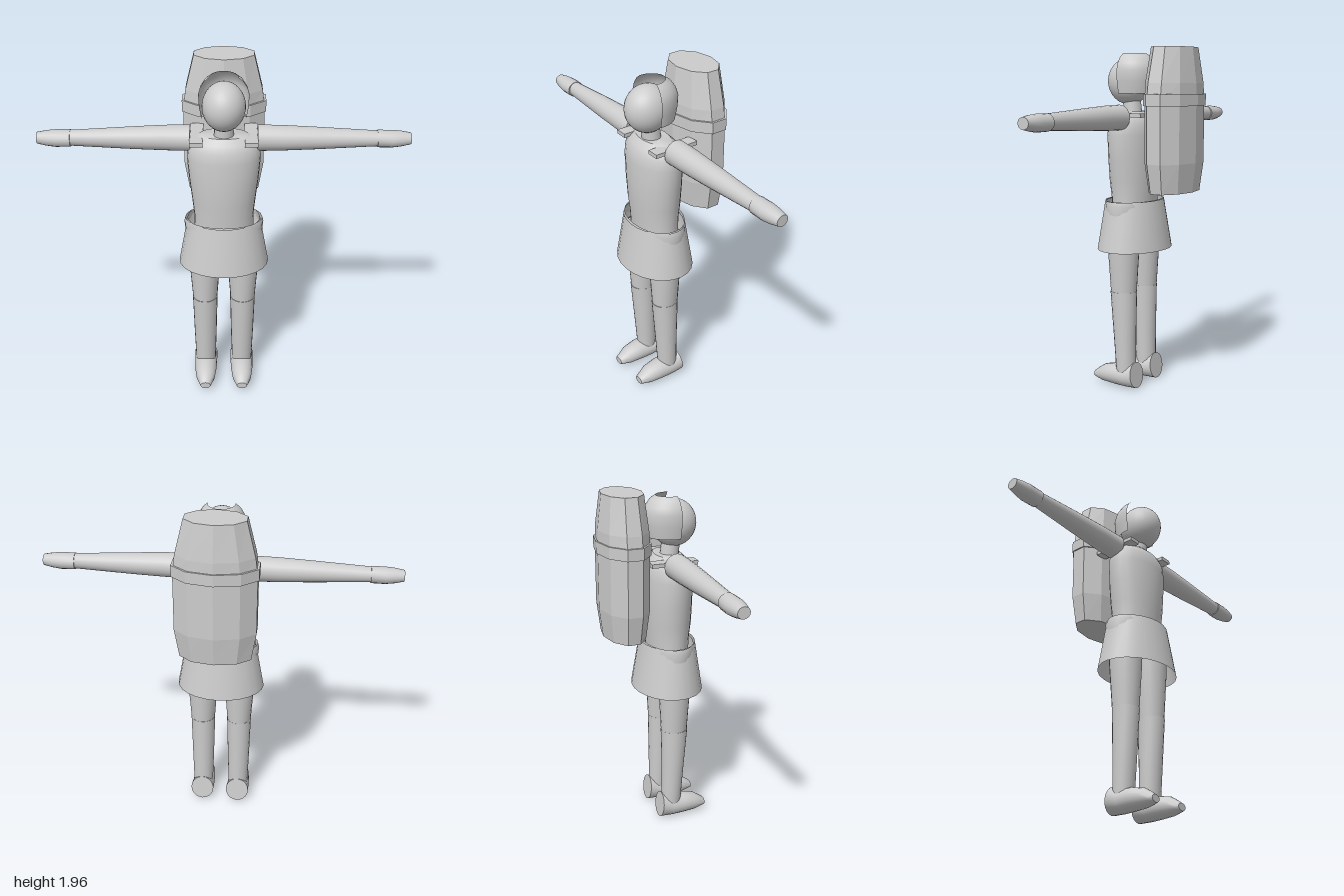
import * as THREE from 'three';
import { toCreasedNormals } from 'three/addons/utils/BufferGeometryUtils.js';

// Skin through elliptical rings [y, centreX, centreZ, radiusX, radiusZ], listed upwards.
function loft(rings, sides = 24, { caps = true, crease = 0.7 } = {}) {
  const p = [];
  const at = ([y, cx, cz, rx, rz], j) => {
    const a = (j / sides) * Math.PI * 2;
    return [cx + Math.sin(a) * rx, y, cz + Math.cos(a) * rz];
  };
  for (let i = 0; i < rings.length - 1; i++) {
    for (let j = 0; j < sides; j++) {
      const a = at(rings[i], j), b = at(rings[i], j + 1);
      const c = at(rings[i + 1], j + 1), d = at(rings[i + 1], j);
      p.push(...a, ...b, ...c, ...a, ...c, ...d);
    }
  }
  if (caps) {
    const lo = rings[0], hi = rings[rings.length - 1];
    for (let j = 0; j < sides; j++) {
      p.push(lo[1], lo[0], lo[2], ...at(lo, j + 1), ...at(lo, j));
      p.push(hi[1], hi[0], hi[2], ...at(hi, j), ...at(hi, j + 1));
    }
  }
  const g = new THREE.BufferGeometry();
  g.setAttribute('position', new THREE.Float32BufferAttribute(p, 3));
  return toCreasedNormals(g, crease);
}

export function createModel() {
  const model = new THREE.Group();
  model.name = 'hiker';
  const grey = new THREE.MeshStandardMaterial({ color: 0xcccccc, side: THREE.DoubleSide });
  grey.name = 'light grey';
  const add = (name, geometry) => {
    const mesh = new THREE.Mesh(geometry, grey);
    mesh.name = name;
    model.add(mesh);
    return mesh;
  };

  // Torso and neck
  add('torso', loft([
    [1.0, 0, 0.1, 0.17, 0.115], [1.12, 0, 0.1, 0.165, 0.118], [1.22, 0, 0.1, 0.175, 0.13],
    [1.35, 0, 0.1, 0.19, 0.133], [1.48, 0, 0.1, 0.2, 0.132], [1.54, 0, 0.1, 0.195, 0.125],
    [1.58, 0, 0.1, 0.175, 0.105], [1.61, 0, 0.1, 0.13, 0.075],
  ]));
  add('neck', loft([[1.58, 0, 0.11, 0.055, 0.055], [1.69, 0, 0.12, 0.05, 0.05]], 16));

  // Skirt with the belt showing through at the hips
  add('skirt', loft([[0.82, 0, 0.1, 0.255, 0.2], [1.105, 0, 0.1, 0.203, 0.155]], 24, { caps: false }));
  add('belt', loft([[1.0, 0, 0.1, 0.215, 0.13], [1.08, 0, 0.1, 0.222, 0.145],
    [1.105, 0, 0.1, 0.215, 0.14]], 24, { caps: false }));

  // Head and the open-topped hood around its back
  const head = new THREE.SphereGeometry(1, 28, 20).scale(0.115, 0.132, 0.128);
  head.translate(0, 1.78, 0.135);
  add('head', head);
  const hoodProfile = [[0.118, 1.71], [0.13, 1.78], [0.133, 1.84], [0.122, 1.88], [0.1, 1.915], [0.075, 1.935]]
    .map(([r, y]) => new THREE.Vector2(r, y));
  const hood = new THREE.LatheGeometry(hoodProfile, 18, Math.PI / 2 - 0.1, Math.PI + 0.2);
  hood.scale(1, 1, 1.18).translate(0, 0, 0.12);
  add('hood', hood);

  // Barrel-shaped backpack, faceted, with a raised band
  const pack = (y, rx, rz) => [y, 0, -0.165, rx, rz];
  add('backpack', loft([
    pack(1.165, 0.208, 0.116), pack(1.33, 0.236, 0.137), pack(1.67, 0.236, 0.138),
    pack(1.77, 0.222, 0.137), pack(1.965, 0.172, 0.114),
  ], 10, { crease: 0.01 }));
  add('backpackBand', loft([pack(1.645, 0.244, 0.147), pack(1.71, 0.244, 0.147)], 10, { crease: 0.01 }));

  for (const s of [1, -1]) {
    const side = s > 0 ? 'left' : 'right';

    // Shoulder strap
    add(side + 'Strap', new THREE.BoxGeometry(0.07, 0.022, 0.265).translate(s * 0.147, 1.592, 0.077));

    // Arm and hand reach straight out sideways
    const arm = (x, y, r, rz = r) => [x, -s * y, 0.085, r, rz];
    const out = (g) => g.rotateZ(-s * Math.PI / 2);
    add(side + 'Arm', out(loft([arm(0.18, 1.58, 0.071), arm(0.32, 1.58, 0.068),
      arm(0.5, 1.579, 0.06), arm(0.83, 1.578, 0.042)], 20)));
    add(side + 'Hand', out(loft([arm(0.82, 1.577, 0.046, 0.05), arm(0.9, 1.576, 0.046, 0.052),
      arm(0.95, 1.577, 0.041, 0.045), arm(1, 1.578, 0.031, 0.034)], 16)));

    // Leg in two lengths, meeting at the knee
    const x = s * 0.11;
    add(side + 'Thigh', loft([[0.56, x, 0.107, 0.071, 0.076], [0.7, x, 0.107, 0.081, 0.084],
      [0.83, x, 0.107, 0.09, 0.092], [1.0, x, 0.107, 0.095, 0.098]], 20));
    add(side + 'Shin', loft([[0.08, x, 0.092, 0.059, 0.057], [0.3, x, 0.1, 0.066, 0.065],
      [0.575, x, 0.108, 0.073, 0.079]], 20));

    // Shoe lofted forwards from the heel, which leans forward at the top
    const shoe = loft([
      [0.02, x, -0.085, 0.07, 0.076], [0.09, x, -0.071, 0.068, 0.064], [0.16, x, -0.072, 0.066, 0.063],
      [0.24, x, -0.066, 0.056, 0.052], [0.285, x, -0.056, 0.038, 0.032], [0.305, x, -0.052, 0.03, 0.021],
    ], 20).rotateX(Math.PI / 2);
    const pos = shoe.attributes.position;
    for (let i = 0; i < pos.count; i++) {
      const z = pos.getZ(i);
      if (z < 0.03) pos.setZ(i, 0.01 + pos.getY(i) * 0.13);
    }
    shoe.translate(0, -0.006, 0);
    add(side + 'Shoe', toCreasedNormals(shoe, 0.7));
  }

  return model;
}
